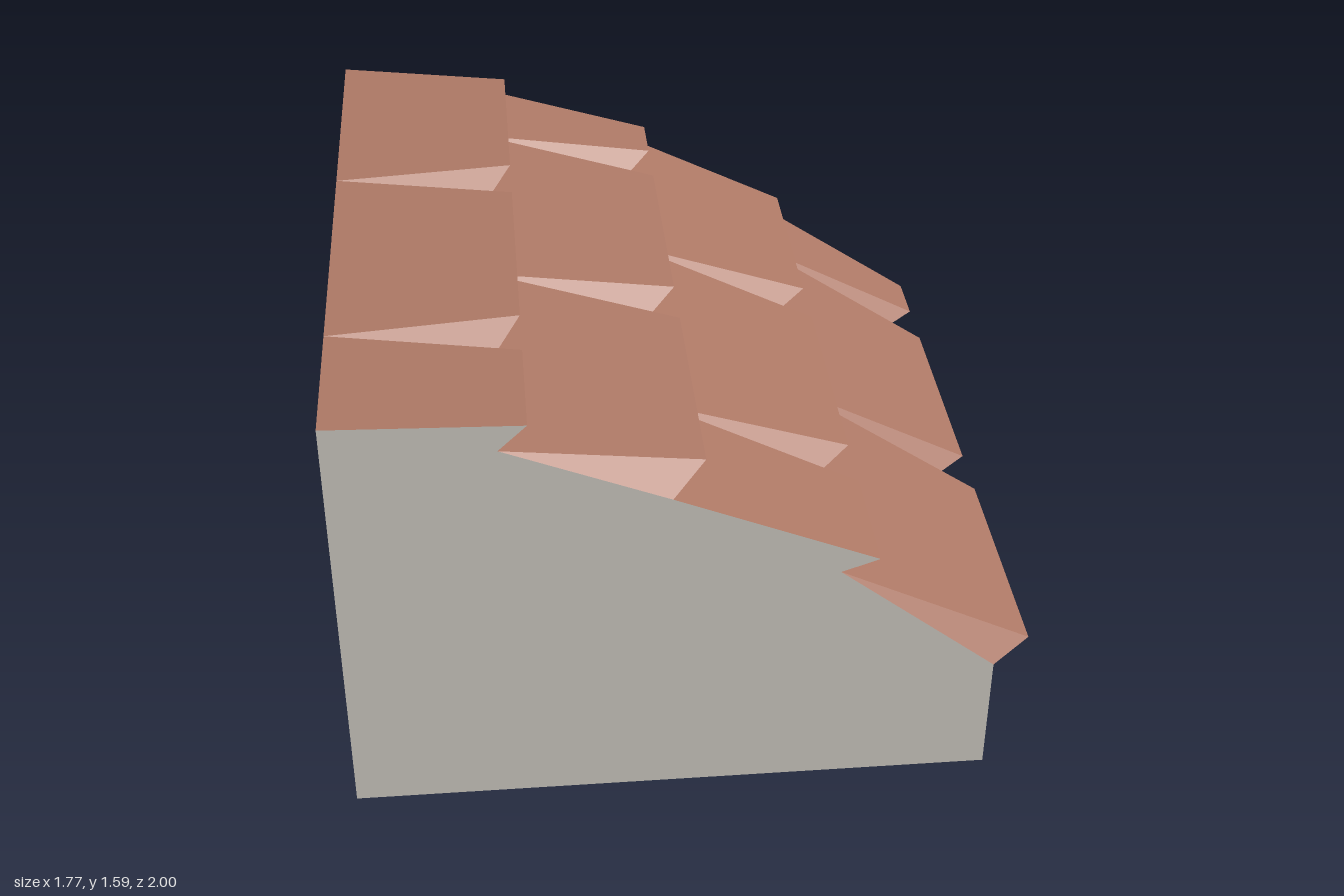
import * as THREE from 'three';

// Roof line under the tiles, and the raised lower lip of each tile row
const BASE = [[-0.89, 1.585], [-0.475, 1.502], [-0.06, 1.335], [0.36, 1.086], [0.775, 0.754]];
const LIPS = [[-0.403, 1.57], [0.028, 1.39], [0.458, 1.12], [0.885, 0.77]];
const INSET = 0.083;
const [X0, X1] = [-0.89, 0.775];
const FLOOR = 0.42, WALL_Z = -0.667, ARCH_Z = -0.833, END_Z = -1;
const EAVE = 0.28, ARCH = 0.754; // drops below the roof line

const drop = d => BASE.map(([x, y]) => [x, y - d]);

export function createModel() {
  const group = new THREE.Group();
  const plaster = new THREE.MeshStandardMaterial({ color: 0xd0ccc4 });
  const stone = new THREE.MeshStandardMaterial({ color: 0x998c7e });
  const clay = new THREE.MeshStandardMaterial({ color: 0xad7865 });
  plaster.name = 'plaster';
  stone.name = 'stone';
  clay.name = 'clay';

  const add = (name, geometry, material) => {
    const mesh = new THREE.Mesh(geometry, material);
    mesh.name = name;
    group.add(mesh);
    return mesh;
  };

  // Flat panel from an outline, facing +z, -z, +x, -x or -y at a given position
  const panel = (name, material, facing, at, pts) => {
    const mirrored = facing === '-z' || facing === '+x';
    const shape = new THREE.Shape(pts.map(([a, b]) => new THREE.Vector2(mirrored ? -a : a, b)));
    const g = new THREE.ShapeGeometry(shape);
    if (facing === '-z') g.rotateY(Math.PI);
    if (facing === '+x') g.rotateY(Math.PI / 2);
    if (facing === '-x') g.rotateY(-Math.PI / 2);
    if (facing === '-y') g.rotateX(Math.PI / 2);
    const axis = facing[1];
    g.translate(axis === 'x' ? at : 0, axis === 'y' ? at : 0, axis === 'z' ? at : 0);
    return add(name, g, material);
  };

  // Flat-shaded surface from convex polygons
  const facets = polygons => {
    const v = [];
    for (const p of polygons)
      for (let i = 1; i < p.length - 1; i++) v.push(...p[0], ...p[i], ...p[i + 1]);
    const g = new THREE.BufferGeometry();
    g.setAttribute('position', new THREE.Float32BufferAttribute(v, 3));
    g.computeVertexNormals();
    return g;
  };

  // Downward-facing curved soffit between two depths
  const soffit = (name, material, line, zBack, zFront) => {
    const polys = [];
    for (let i = 0; i < line.length - 1; i++) {
      const a = line[i], b = line[i + 1];
      polys.push([[...a, zBack], [...b, zBack], [...b, zFront], [...a, zFront]]);
    }
    add(name, facets(polys), material);
  };

  // Tiles: staggered rows with V-shaped grooves between neighbours
  for (let row = 0; row < 4; row++) {
    const start = BASE[row], end = BASE[row + 1], lip = LIPS[row];
    const staggered = row % 2 === 1;
    const seams = staggered ? [-1, -0.668, 0.166, 1] : [-1, -0.252, 0.582, 1];
    for (let i = 0; i < 3; i++) {
      const zA = seams[i], zB = seams[i + 1];
      const cutB = i < 2 || staggered ? INSET : 0; // even rows end flush at the gable
      const A = [...start, zA], B = [...start, zB];
      const endA = [...end, zA], endB = [...end, zB];
      const lipA = [...lip, zA + INSET], lipB = [...lip, zB - cutB];
      const polys = [[A, B, lipB, lipA], [lipA, lipB, endB, endA], [A, lipA, endA]];
      if (cutB) polys.push([B, endB, lipB]);
      add('roofTile', facets(polys), clay);
    }
  }

  // Gable wall, following the flush tile ends
  panel('gableWall', plaster, '+z', 1, [
    BASE[0], LIPS[0], BASE[1], BASE[2], LIPS[2], BASE[3], BASE[4], [X1, FLOOR], [X0, FLOOR]]);

  // Eave side wall and tall inner wall, stepped around the arch and overhang
  const stepped = (y, top) => [[1, FLOOR], [WALL_Z, FLOOR], [WALL_Z, y - ARCH], [ARCH_Z, y - ARCH],
    [ARCH_Z, y - EAVE], [END_Z, y - EAVE], [END_Z, top], [1, top]];
  panel('eaveWall', plaster, '+x', X1, stepped(BASE[4][1], BASE[4][1]));
  panel('innerWall', stone, '-x', X0, stepped(BASE[0][1], BASE[0][1]));

  // Underside of the body
  panel('bodyUnderside', plaster, '-y', FLOOR, [[X0, WALL_Z], [X1, WALL_Z], [X1, 1], [X0, 1]]);

  // Arched band at the back, with the recessed wall under it
  const arch = drop(ARCH), eave = drop(EAVE);
  const t = (arch[3][1] - FLOOR) / (arch[3][1] - arch[2][1]);
  const meet = [arch[3][0] + (arch[2][0] - arch[3][0]) * t, FLOOR];
  panel('recessedWall', plaster, '-z', WALL_Z, [[X0, FLOOR], meet, arch[2], arch[1], arch[0]]);
  panel('archFoot', stone, '+z', WALL_Z, [meet, arch[3], arch[4], [X1, FLOOR]]);
  panel('archBand', stone, '-z', ARCH_Z, [...arch, ...[...eave].reverse()]);
  soffit('archSoffit', stone, arch, ARCH_Z, WALL_Z);

  // Overhanging roof edge
  panel('roofEdge', clay, '-z', END_Z, [...eave, ...[...BASE].reverse()]);
  soffit('roofEdgeSoffit', clay, eave, END_Z, ARCH_Z);

  return group;
}
